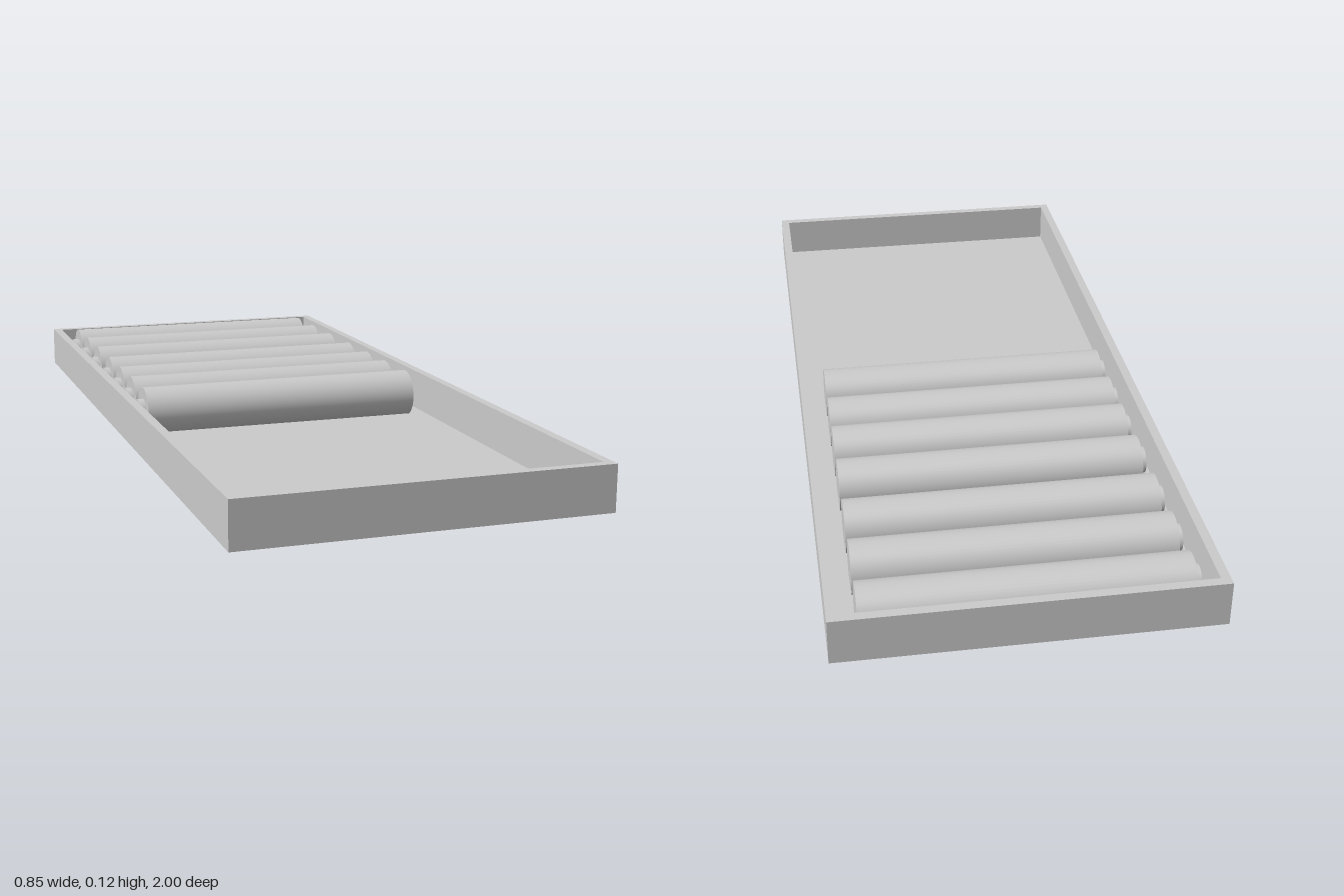
import * as THREE from 'three';

const W = 0.854, L = 2, WALL = 0.022;   // tray footprint and wall thickness
const BOTTOM = 0.005, TOP = 0.113, FLOOR = 0.006;
const R = 0.0615;                       // cell radius

export function createModel() {
  const model = new THREE.Group();
  const material = new THREE.MeshStandardMaterial({ color: 0xcccccc });

  const add = (parent, name, geometry, x, y, z) => {
    const mesh = new THREE.Mesh(geometry, material);
    mesh.name = name;
    mesh.position.set(x, y, z);
    parent.add(mesh);
    return mesh;
  };
  const rect = (shape, w, h) => shape
    .moveTo(-w / 2, -h / 2).lineTo(w / 2, -h / 2)
    .lineTo(w / 2, h / 2).lineTo(-w / 2, h / 2).closePath();

  // Open tray: a rectangular wall frame around a thin floor
  const tray = new THREE.Group();
  tray.name = 'tray';
  const outline = rect(new THREE.Shape(), W, L);
  outline.holes.push(rect(new THREE.Path(), W - 2 * WALL, L - 2 * WALL));
  const frame = new THREE.ExtrudeGeometry(outline, { depth: TOP - BOTTOM, bevelEnabled: false });
  frame.rotateX(-Math.PI / 2);
  add(tray, 'trayWalls', frame, 0, BOTTOM, 0);
  add(tray, 'trayFloor', new THREE.BoxGeometry(W - 2 * WALL, FLOOR, L - 2 * WALL), 0, BOTTOM + FLOOR / 2, 0);
  model.add(tray);

  // Row of round cells lying across the tray, each with a small end cap on the right
  const body = new THREE.CylinderGeometry(R, R, 0.727, 48).rotateZ(Math.PI / 2);
  const cap = new THREE.CylinderGeometry(0.032, 0.032, 0.016, 32).rotateZ(Math.PI / 2);
  [-0.905, -0.756, -0.602, -0.434, -0.286, -0.148, -0.003].forEach((z) => {
    const cell = new THREE.Group();
    cell.name = 'cell';
    cell.position.set(0, R, z);
    add(cell, 'cellBody', body, -0.0015, 0, 0);
    add(cell, 'cellCap', cap, -0.373, 0, 0);
    model.add(cell);
  });

  return model;
}
